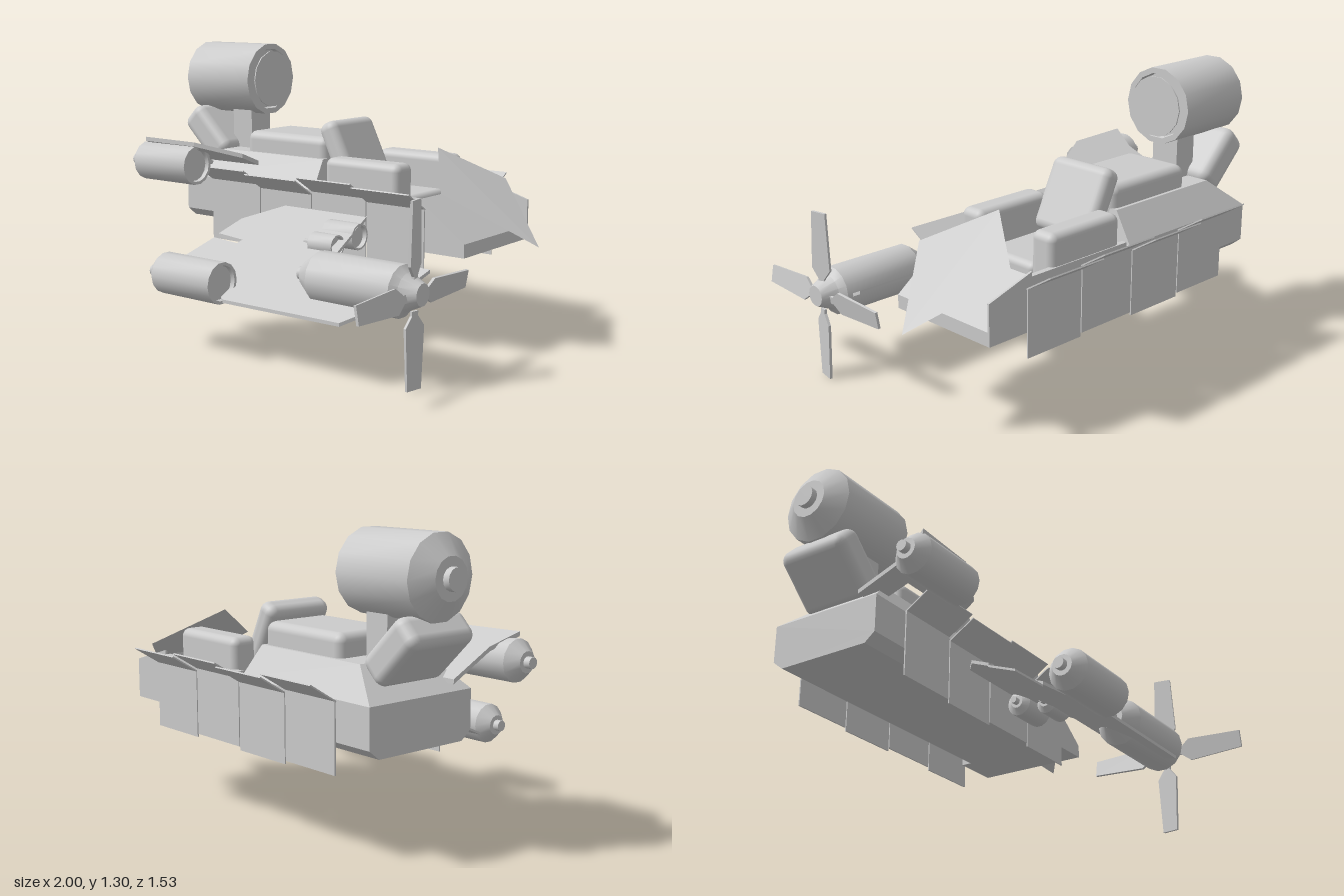
import * as THREE from 'three';
import { toCreasedNormals } from 'three/addons/utils/BufferGeometryUtils.js';
import { RoundedBoxGeometry } from 'three/addons/geometries/RoundedBoxGeometry.js';

const grey = new THREE.MeshStandardMaterial({ color: 0xcccccc, side: THREE.DoubleSide });
const MID = -0.345; // centre line of the hull in z

export function createModel() {
  const model = new THREE.Group();

  const add = (name, geometry, x = 0, y = 0, z = 0, parent = model) => {
    const mesh = new THREE.Mesh(geometry, grey);
    mesh.name = name;
    mesh.position.set(x, y, z);
    parent.add(mesh);
    return mesh;
  };
  const outline = (points) => new THREE.Shape(points.map(([a, b]) => new THREE.Vector2(a, b)));
  const extrude = (points, depth) =>
    new THREE.ExtrudeGeometry(outline(points), { depth, bevelEnabled: false });
  // Section in (z, y), swept along x
  const alongX = (points, x0, x1) =>
    extrude(points, x1 - x0).rotateY(Math.PI / 2).translate(x0, 0, MID);
  // Plan in (x, z), sloped by y = height(z)
  const slopedPlate = (points, thickness, height) => {
    const geometry = extrude(points, thickness).rotateX(Math.PI / 2);
    const p = geometry.attributes.position;
    for (let i = 0; i < p.count; i++) p.setY(i, p.getY(i) + height(p.getZ(i)));
    return toCreasedNormals(geometry, 0.3);
  };
  const mirrored = (half) => [...half, ...half.map(([a, b]) => [-a, b]).reverse()];
  // Revolved profile [x, radius] around the x axis
  const lathe = (profile, sides) =>
    toCreasedNormals(
      new THREE.LatheGeometry(profile.map(([x, r]) => new THREE.Vector2(r, x)), sides)
        .rotateZ(-Math.PI / 2), 0.55);

  // Hull: closed rear, open cockpit, sloped nose
  add('rearHull', alongX(mirrored([[0.225, 0.45], [0.275, 0.49], [0.275, 0.66]]), -0.82, 0));
  add('cockpitTub', alongX(mirrored([
    [0.225, 0.45], [0.275, 0.49], [0.275, 0.68], [0.25, 0.68], [0.25, 0.55],
  ]), 0, 0.56));
  add('nose', extrude([[0.56, 0.45], [0.79, 0.45], [0.79, 0.51], [0.56, 0.68]], 0.55), 0, 0, MID - 0.275);
  add('noseSidePlate', extrude([[0.56, 0.66], [0.79, 0.5], [0.79, 0.63], [0.56, 0.7]], 0.01), 0, 0, -0.62);

  // Raised rear deck, with a sloped tail end
  const deck = alongX(mirrored([[0.275, 0.66], [0.18, 0.79]]), -0.82, -0.02);
  const dp = deck.attributes.position;
  for (let i = 0; i < dp.count; i++) {
    if (dp.getY(i) > 0.7) dp.setX(i, dp.getX(i) < -0.5 ? -0.66 : -0.04);
  }
  add('rearDeck', toCreasedNormals(deck, 0.3));
  add('engineCover', new RoundedBoxGeometry(0.49, 0.16, 0.33, 3, 0.04), -0.28, 0.81, MID);

  // Cockpit seat
  add('seatCushion', new RoundedBoxGeometry(0.32, 0.12, 0.3, 3, 0.03), 0.27, 0.6, MID);
  add('seatBack', new RoundedBoxGeometry(0.1, 0.33, 0.33, 3, 0.04), 0.02, 0.81, MID).rotation.z = 0.45;
  for (const side of [-1, 1]) {
    add('armrest', new RoundedBoxGeometry(0.41, 0.24, 0.125, 3, 0.035), 0.24, 0.695, MID + side * 0.208);
  }

  // Tail cushion and pylon carrying the large engine
  add('tailCushion', new RoundedBoxGeometry(0.15, 0.3, 0.35, 3, 0.045), -0.8, 0.85, MID).rotation.z = 0.8;
  add('enginePylon', new THREE.BoxGeometry(0.12, 0.24, 0.14), -0.635, 0.86, MID);

  // Windshield: diamond sheet lying on a forward slope
  const shield = new THREE.BufferGeometry().setFromPoints([
    [0.475, 0.87, MID], [0.67, 0.715, MID + 0.275], [0.995, 0.48, MID],
    [0.475, 0.87, MID], [0.995, 0.48, MID], [0.67, 0.715, MID - 0.275],
  ].map((v) => new THREE.Vector3(...v)));
  shield.computeVertexNormals();
  add('windshield', shield);

  // Hanging skirt panels with outward flaps, alternating in height
  for (const side of [-1, 1]) {
    for (let i = 0; i < 4; i++) {
      const x = -0.485 + i * 0.31;
      const drop = i % 2 ? -0.015 : 0;
      add('skirtPanel', new THREE.BoxGeometry(0.304, 0.295, 0.006), x, 0.508 + drop, MID + side * 0.287);
      const flap = add('skirtFlap', new THREE.BoxGeometry(0.304, 0.006, 0.152),
        x, 0.694 + drop, MID + side * 0.346);
      flap.rotation.x = -side * 0.56;
    }
  }

  // Engine pods: tail stub, cone, barrel, recessed front
  const pod = (name, x0, x1, y, z, r, cone, sides = 14) =>
    add(name, lathe([
      [x0, 0], [x0, r * 0.27], [x0 + 0.03, r * 0.27], [x0 + 0.03, r * 0.5],
      [x0 + 0.03 + cone, r], [x1, r], [x1, r * 0.85], [x1 - 0.02, r * 0.82], [x1 - 0.02, 0],
    ], sides), 0, y, z);
  pod('largeEngine', -1, -0.51, 1.133, MID, 0.175, 0.06);
  add('largeEngineDisc', new THREE.CylinderGeometry(0.138, 0.138, 0.006, 14).rotateZ(Math.PI / 2), -0.495, 1.133, MID);
  pod('upperPod', -0.95, -0.54, 0.752, 0.155, 0.092, 0.05);
  pod('lowerPod', -0.435, -0.02, 0.338, 0.555, 0.092, 0.05);
  pod('innerSmallPod', 0.08, 0.3, 0.493, 0.005, 0.06, 0.02);
  pod('outerSmallPod', 0.1, 0.28, 0.47, 0.14, 0.05, 0.02);

  // Upper wing
  add('upperWing', slopedPlate([
    [-0.82, -0.17], [-0.7, -0.17], [-0.68, -0.02], [-0.31, -0.02], [-0.33, 0.07],
    [-0.54, 0.175], [-0.85, 0.185], [-0.8, 0.06],
  ], 0.02, (z) => 0.785 + 0.45 * z));

  // Lower wing with a trailing flap
  const lowerSlope = (z) => 0.545 - 0.5 * z;
  add('lowerWing', slopedPlate([
    [-0.17, -0.06], [0.29, -0.06], [0.31, 0.19], [0.79, 0.19], [0.72, 0.42], [0.6, 0.55],
    [-0.02, 0.555], [-0.3, 0.4], [-0.22, 0.2], [-0.38, 0.185], [-0.34, 0.07],
  ], 0.015, lowerSlope));
  add('lowerWingFlap', slopedPlate(
    [[-0.4, 0.195], [-0.22, 0.21], [-0.3, 0.4], [-0.47, 0.375]], 0.01, (z) => lowerSlope(z) - 0.015));

  // Propeller engine
  const prop = new THREE.Group();
  prop.name = 'propellerEngine';
  prop.position.set(0, 0.387, 0.385);
  model.add(prop);
  add('engineBody', lathe([
    [0.27, 0], [0.27, 0.028], [0.305, 0.028], [0.305, 0.055], [0.38, 0.11],
    [0.79, 0.11], [0.815, 0.08], [0.885, 0.047], [0.885, 0],
  ], 14), 0, 0.01, 0, prop);
  const blade = extrude(mirrored([
    [0.017, 0.06], [0.017, 0.08], [0.052, 0.125], [0.039, 0.384],
  ]), 0.012).translate(0, 0, -0.006).rotateY(Math.PI / 2 + 0.18);
  for (let i = 0; i < 4; i++) {
    add('propellerBlade', blade, 0.845, 0, 0, prop).rotation.x = i * Math.PI / 2;
  }

  return model;
}
